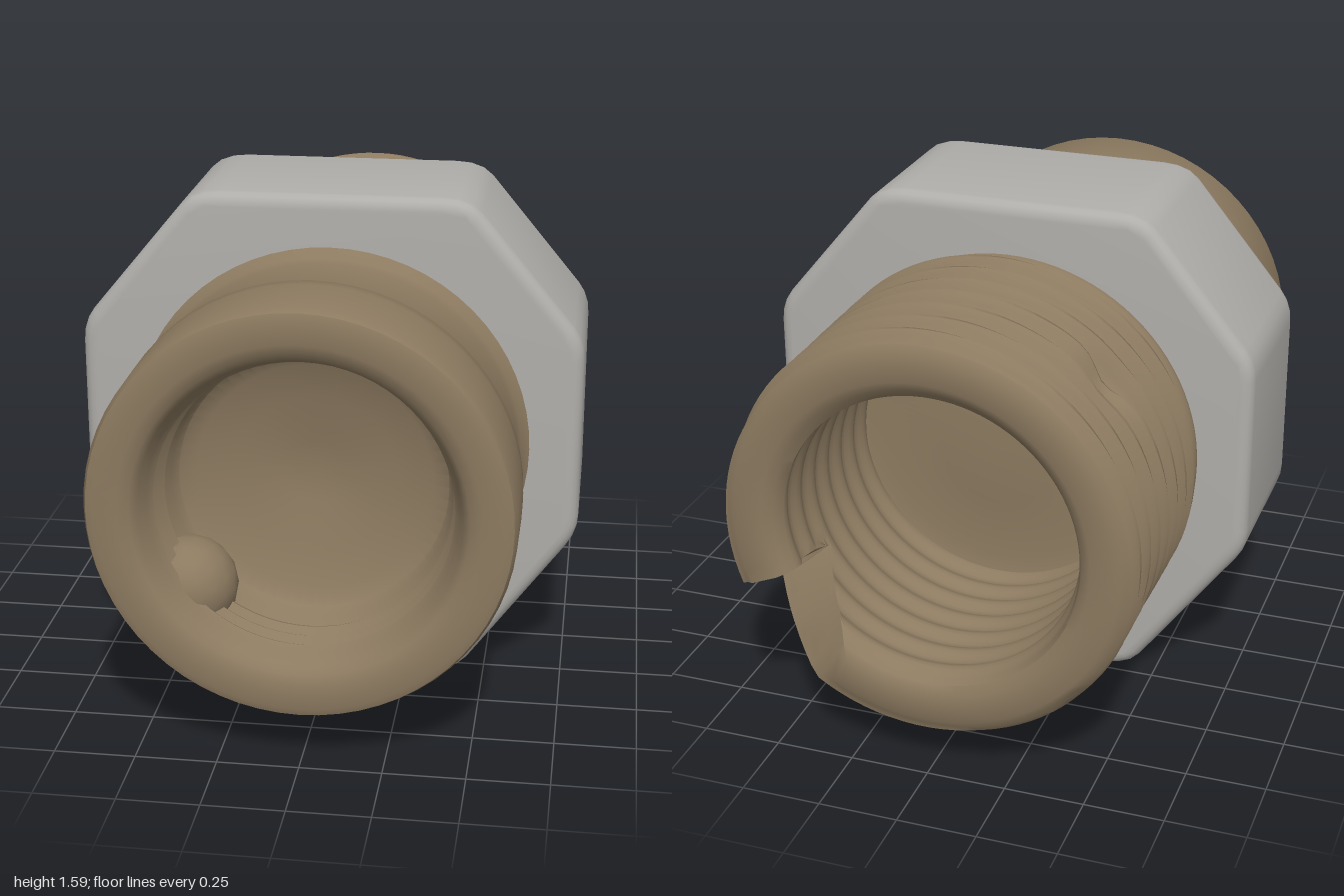
import * as THREE from 'three';
import { toCreasedNormals } from 'three/addons/utils/BufferGeometryUtils.js';

const AXIS_Y = 0.805;
const PITCH = 0.1;

const metal = (color) => new THREE.MeshStandardMaterial({ color });

// Lathe turned so that profile points [radius, z] run along the z axis
function turned(points, segments) {
  const profile = points.map(([r, z]) => new THREE.Vector2(r, z));
  return new THREE.LatheGeometry(profile, segments).rotateX(Math.PI / 2);
}

// Depth of the broken-out wedge in the threaded rim at a given angle from straight down
function rimLimit(angle) {
  const deg = THREE.MathUtils.radToDeg(angle);
  if (deg < 32 || deg > 64) return -1;
  return -1 + 0.25 * (deg - 32) / 32;
}

// Worn spots on the outer thread, relative to the axis
const WORN_SPOTS = [[0.48, -0.4, -0.4], [-0.45, 0.43, -0.65]].map((p) => new THREE.Vector3(...p));

function threadedBarrel() {
  const points = [[0, -0.34], [0.2, -0.32], [0.4, -0.31]];
  const steps = 48;
  for (let i = 0; i <= steps; i++) points.push([0.462, -0.32 - 0.64 * i / steps]);
  points.push([0.48, -0.985], [0.51, -1], [0.6, -1], [0.622, -0.985]);
  for (let i = 0; i <= steps + 8; i++) points.push([0.622, -0.98 + 0.78 * i / (steps + 8)]);

  const geometry = turned(points, 96);
  const pos = geometry.attributes.position;
  const p = new THREE.Vector3();
  for (let i = 0; i < pos.count; i++) {
    p.fromBufferAttribute(pos, i);
    const r = Math.hypot(p.x, p.y);
    const angle = Math.atan2(p.x, -p.y);
    // Helical ridge on the bore and on the outside, running out near the nut
    let ridge = 0;
    if (r > 0.45 && p.z > -0.982 && p.z < -0.22) {
      const fade = THREE.MathUtils.smoothstep(-p.z, 0.22, 0.32);
      ridge = fade * Math.cos(2 * Math.PI * (p.z + 0.97) / PITCH + angle) * (r > 0.55 ? 0.024 : 0.01);
      if (r > 0.55) {
        for (const spot of WORN_SPOTS) ridge -= 0.05 * Math.exp(-p.distanceToSquared(spot) / 0.006);
      }
    }
    const k = r > 0 ? (r + ridge) / r : 1;
    pos.setXYZ(i, p.x * k, p.y * k, Math.max(p.z, rimLimit(angle)));
  }
  return toCreasedNormals(geometry, 0.75);
}

function nutGeometry() {
  const b = 0.04;
  // Eight corners, slightly rounded by short extra edges
  const corners = [[0.45, 0.79], [0.79, 0.38], [0.79, -0.31], [0.43, -0.795],
    [-0.43, -0.795], [-0.79, -0.31], [-0.79, 0.38], [-0.45, 0.79]]
    .map(([x, y]) => new THREE.Vector2(x - Math.sign(x) * b, y - Math.sign(y) * b));
  const shape = new THREE.Shape();
  corners.forEach((c, i) => {
    const before = corners[(i + 7) % 8], after = corners[(i + 1) % 8];
    const start = c.clone().lerp(before, 0.08), end = c.clone().lerp(after, 0.08);
    if (i === 0) shape.moveTo(start.x, start.y);
    else shape.lineTo(start.x, start.y);
    shape.quadraticCurveTo(c.x, c.y, end.x, end.y);
  });
  shape.closePath();
  const geometry = new THREE.ExtrudeGeometry(shape, {
    depth: 0.57 - 2 * b, bevelEnabled: true, bevelThickness: b, bevelSize: b,
    bevelSegments: 4, curveSegments: 3,
  });
  geometry.translate(0, 0, b - 0.24);
  return toCreasedNormals(geometry, 0.5);
}

export function createModel() {
  const model = new THREE.Group();
  model.name = 'pipeFitting';
  const bronze = metal(0x8c7a60);

  const add = (name, geometry, material) => {
    const mesh = new THREE.Mesh(geometry, material);
    mesh.name = name;
    mesh.position.y = AXIS_Y;
    model.add(mesh);
    return mesh;
  };

  // Octagonal spanner nut
  add('octagonalNut', nutGeometry(), metal(0xb0aeaa));

  // Plain stepped sleeve with a grooved, dished blind bore
  const sleeve = [
    [0.65, 0.31], [0.625, 0.335], [0.605, 0.36], [0.597, 0.4], [0.597, 0.63], [0.608, 0.66],
    [0.63, 0.69], [0.632, 0.74], [0.632, 0.97], [0.622, 0.992], [0.6, 1],
    [0.53, 0.998], [0.495, 0.988], [0.475, 0.965],
    [0.46, 0.91], [0.445, 0.885], [0.457, 0.86], [0.438, 0.835], [0.45, 0.81], [0.432, 0.785],
    [0.442, 0.76], [0.425, 0.72], [0.41, 0.68], [0.36, 0.655], [0.25, 0.63], [0.1, 0.6], [0, 0.59],
  ];
  add('sleeve', toCreasedNormals(turned(sleeve, 64), 0.75), bronze);

  // Threaded end with a threaded bore and a broken rim
  add('threadedBarrel', threadedBarrel(), bronze);

  // Lump stuck in the corner of the sleeve bore
  const lump = add('boreLump', new THREE.IcosahedronGeometry(0.15, 2), bronze);
  lump.position.set(-0.37, AXIS_Y - 0.32, 0.76);

  return model;
}
